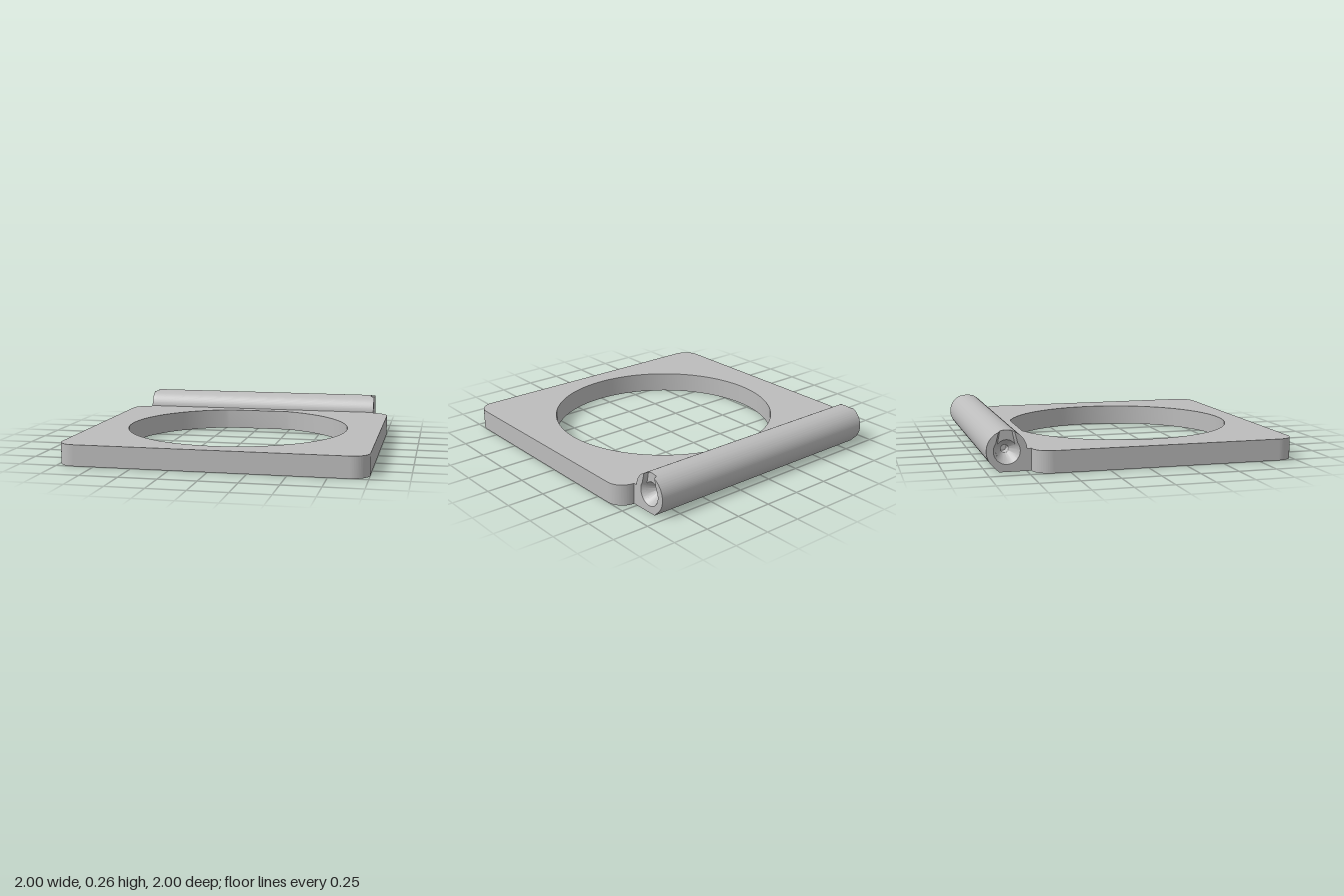
import * as THREE from 'three';
import { toCreasedNormals } from 'three/addons/utils/BufferGeometryUtils.js';

const W = 0.885;              // half length of the barrel
const CAP = 0.025;            // depth of the notched barrel ends
const AXIS_Y = 0.13, AXIS_Z = -0.872, R = 0.127;
const SOCKET = 0.083, SOCKET_IN = 0.066;

// Square plate with rounded corners and a round opening cut flat at the back
function plateGeometry() {
  const r = 0.115, back = 0.72, front = -1;
  const s = new THREE.Shape();
  s.absarc(1 - r, front + r, r, -Math.PI / 2, 0);
  s.absarc(1 - r, back - r, r, 0, Math.PI / 2);
  s.absarc(-1 + r, back - r, r, Math.PI / 2, Math.PI);
  s.absarc(-1 + r, front + r, r, Math.PI, Math.PI * 1.5);
  const a = Math.asin(0.735 / 0.77);
  const hole = new THREE.Path();
  hole.absarc(0, -0.085, 0.77, Math.PI - a, Math.PI * 2 + a);
  hole.closePath();
  s.holes.push(hole);
  const g = new THREE.ExtrudeGeometry(s, { depth: 0.14, bevelEnabled: false, curveSegments: 64 });
  return toCreasedNormals(g.rotateX(-Math.PI / 2), 0.5);
}

// Barrel cross-section around its axis, joined to the plate by a neck
function barrelShape(notched) {
  const s = new THREE.Shape();
  const end = Math.PI - Math.asin(0.01 / R);
  s.moveTo(-0.152, -AXIS_Y);
  s.lineTo(0.05, -AXIS_Y);
  if (notched) {
    const half = Math.asin(0.05 / R), join = Math.acos(0.068 / SOCKET);
    s.absarc(0, 0, R, -Math.PI / 4, Math.PI / 2 - half);
    s.absarc(0, 0, SOCKET, join, Math.PI - join, true);
    s.absarc(0, 0, R, Math.PI / 2 + half, end);
  } else {
    s.absarc(0, 0, R, -Math.PI / 4, end);
    const hole = new THREE.Path();
    hole.absarc(0, 0, SOCKET_IN, 0, Math.PI * 2);
    s.holes.push(hole);
  }
  s.lineTo(-0.152, 0.01);
  s.closePath();
  return s;
}

function extrudeAlongX(shape, x0, x1, adjust) {
  const g = new THREE.ExtrudeGeometry(shape, { depth: x1 - x0, bevelEnabled: false, curveSegments: 48 });
  if (adjust) adjust(g.attributes.position);
  g.translate(0, 0, x0).rotateY(Math.PI / 2).translate(0, AXIS_Y, AXIS_Z);
  return toCreasedNormals(g, 0.5);
}

// Barrel end whose socket and slot taper inward
function endGeometry(side) {
  const taper = (p) => {
    for (let i = 0; i < p.count; i++) {
      const inner = side > 0 ? p.getZ(i) < CAP / 2 : p.getZ(i) > CAP / 2;
      if (!inner) continue;
      const u = p.getX(i), v = p.getY(i);
      if (Math.hypot(u, v) < SOCKET + 0.003) {
        const k = SOCKET_IN / SOCKET;
        p.setXY(i, u * k, v * k);
      } else if (v > 0 && Math.abs(Math.abs(u) - 0.05) < 0.0005) {
        p.setXY(i, u * 0.75, Math.sqrt(R * R - u * u * 0.5625));
      }
    }
  };
  const x0 = side > 0 ? W - CAP : -W;
  return extrudeAlongX(barrelShape(true), x0, x0 + CAP, taper);
}

// Conical seat with a small blind pin hole
function socketGeometry(side) {
  const pts = [[SOCKET_IN, W - CAP], [0.025, 0.80], [0.025, 0.72], [0, 0.72]]
    .map(([r, y]) => new THREE.Vector2(r, y));
  const g = new THREE.LatheGeometry(pts, 48).rotateZ(-side * Math.PI / 2);
  return toCreasedNormals(g.translate(0, AXIS_Y, AXIS_Z), 0.5);
}

export function createModel() {
  const grey = new THREE.MeshStandardMaterial({ color: 0xbcbcbc });
  grey.name = 'grey';
  const model = new THREE.Group();
  model.name = 'hingedFrame';
  const add = (name, geometry) => {
    const mesh = new THREE.Mesh(geometry, grey);
    mesh.name = name;
    model.add(mesh);
  };

  add('framePlate', plateGeometry());
  add('hingeBarrel', extrudeAlongX(barrelShape(false), -W + CAP, W - CAP));
  for (const [label, side] of [['left', 1], ['right', -1]]) {
    add(label + 'BarrelEnd', endGeometry(side));
    add(label + 'PinSocket', socketGeometry(side));
  }
  return model;
}
